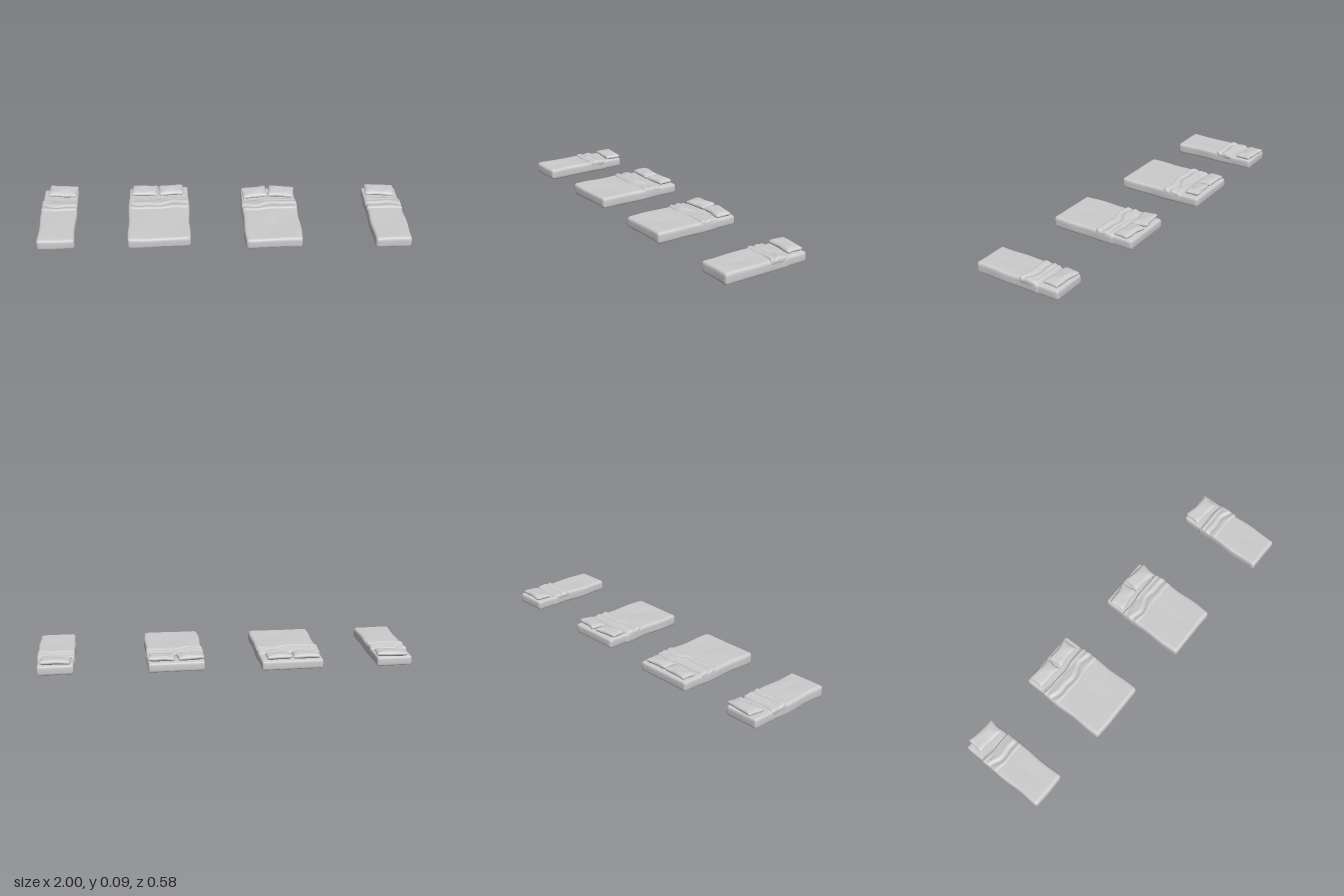
import * as THREE from 'three';
import { mergeVertices } from 'three/addons/utils/BufferGeometryUtils.js';

const material = new THREE.MeshStandardMaterial({ color: 0xcccccc });

// Rounded block with a dense grid, so that a rule can crumple it like cloth.
function softBlock(w, h, d, r, segments, rule) {
  const geo = new THREE.BoxGeometry(2, 2, 2, ...segments);
  geo.deleteAttribute('uv');
  geo.deleteAttribute('normal');
  const pos = geo.attributes.position;
  const half = new THREE.Vector3(w / 2, h / 2, d / 2);
  const inner = half.clone().subScalar(r);
  const p = new THREE.Vector3(), core = new THREE.Vector3();
  const crowd = (u) => Math.sign(u) * (1 - (1 - Math.min(1, Math.abs(u))) ** 1.5);
  for (let i = 0; i < pos.count; i++) {
    p.fromBufferAttribute(pos, i);
    p.set(crowd(p.x), crowd(p.y), crowd(p.z)).multiply(half);
    core.copy(p).clamp(inner.clone().negate(), inner);
    p.sub(core);
    if (p.lengthSq() > 0) p.setLength(r);
    p.add(core);
    if (rule) rule(p);
    pos.setXYZ(i, p.x, p.y, p.z);
  }
  const smooth = mergeVertices(geo, 1e-5);
  smooth.computeVertexNormals();
  return smooth;
}

function addMesh(group, name, geo, x, y, z) {
  const mesh = new THREE.Mesh(geo, material);
  mesh.name = name;
  mesh.position.set(x, y, z);
  group.add(mesh);
  return mesh;
}

const bump = (v, centre, width) => Math.exp(-(((v - centre) / width) ** 2));

// Plump cushion: thin at the rim, pinched in along its sides, corners left out.
function pillowGeometry(w, d, seed) {
  return softBlock(w, 0.03, d, 0.0148, [18, 6, 14], (p) => {
    const u = p.x / (w / 2), v = p.z / (d / 2);
    p.y *= 0.55 + 0.45 * (1 - u ** 4) * (1 - v ** 4);
    p.y += 0.0015 * Math.sin(u * 4 + seed) * Math.cos(v * 3 + seed);
    p.x *= 1 - 0.05 * (1 - v * v);
    p.z *= 1 - 0.09 * (1 - u * u) + 0.025 * Math.sin(u * 5 + seed);
  });
}

function createBed({ name, x, head, width, length, pillows, seed }) {
  const bed = new THREE.Group();
  bed.name = name;
  bed.position.set(x, 0, head);

  // Bare mattress, showing at the head end
  addMesh(bed, 'mattress', softBlock(width - 0.012, 0.053, length - 0.01, 0.014, [16, 8, 24]),
    0, 0.0325, length / 2 - 0.003);

  // Blanket over the foot end, with soft dents and creases
  const start = 0.105, blanketLength = length - start;
  addMesh(bed, 'blanket', softBlock(width - 0.006, 0.062, blanketLength, 0.017, [32, 10, 44], (p) => {
    const z = p.z + blanketLength / 2 + start;
    const top = THREE.MathUtils.smoothstep(p.y, 0, 0.03);
    const wave = Math.sin(p.x * 23 + seed) + 0.6 * Math.sin(p.x * 41 + seed * 2);
    p.y += top * (0.0012 * Math.sin(p.x * 17 + z * 19 + seed) - 0.002 * bump(p.x, 0.01, 0.025) * bump(z, 0.36, 0.07));
    p.y -= top * 0.005 * bump(z, 0.1, 0.05);
    if (p.y < 0) p.y += 0.0015 * Math.sin(z * 22 + p.x * 13 + seed);
    p.x += 0.0025 * Math.sign(p.x) * Math.sin(z * 27 + seed) * Math.min(1, Math.abs(p.x) / (width * 0.4));
    p.z += 0.0035 * wave * (z < 0.25 ? 1 : 0.25);
  }), 0, 0.034, start + blanketLength / 2);

  // Turned-down sheet, its lower edge standing proud of the blanket
  const foldDepth = 0.105;
  addMesh(bed, 'foldedSheet', softBlock(width - 0.004, 0.034, foldDepth, 0.0155, [36, 8, 26], (p) => {
    const t = p.z / foldDepth + 0.5;
    const wave = Math.sin(p.x * 21 + seed) + 0.5 * Math.sin(p.x * 47 + seed * 3);
    const top = THREE.MathUtils.smoothstep(p.y, 0, 0.015);
    const line = 0.08 * wave;
    p.y += top * (0.0035 * bump(t, 0.9, 0.2) - 0.005 * bump(t, 0.62 + line, 0.1)
      + 0.003 * bump(t, 0.42 + line, 0.1) - 0.003 * bump(t, 0.2 - line, 0.1) + 0.0007 * wave);
    p.x *= 1 + 0.008 * Math.sin(t * 8 + seed);
    p.z += 0.0045 * wave;
  }), 0, 0.053, 0.172);

  // Pillows: [x offset, distance from head, width, depth, turn]
  pillows.forEach(([px, pz, w, d, turn], i) => {
    const pillow = addMesh(bed, 'pillow', pillowGeometry(w, d, seed + i * 2), px, 0.071, pz);
    pillow.rotation.set(0.06, turn, 0);
  });
  return bed;
}

export function createModel() {
  const model = new THREE.Group();
  model.name = 'bedding';
  const beds = [
    { name: 'singleBedRight', x: -0.898, head: -0.285, width: 0.204, length: 0.492, seed: 1,
      pillows: [[0.013, 0.046, 0.165, 0.095, -0.11]] },
    { name: 'wideDoubleBed', x: -0.349, head: -0.275, width: 0.342, length: 0.497, seed: 2.4,
      pillows: [[-0.077, 0.055, 0.148, 0.09, -0.06], [0.07, 0.057, 0.14, 0.085, 0.05]] },
    { name: 'doubleBed', x: 0.263, head: -0.232, width: 0.312, length: 0.492, seed: 3.7,
      pillows: [[-0.075, 0.063, 0.145, 0.092, 0.12], [0.075, 0.063, 0.148, 0.092, -0.15]] },
    { name: 'singleBedLeft', x: 0.896, head: -0.205, width: 0.204, length: 0.493, seed: 5.2,
      pillows: [[-0.003, 0.053, 0.167, 0.092, -0.1]] },
  ];
  beds.forEach((spec) => model.add(createBed(spec)));
  return model;
}
